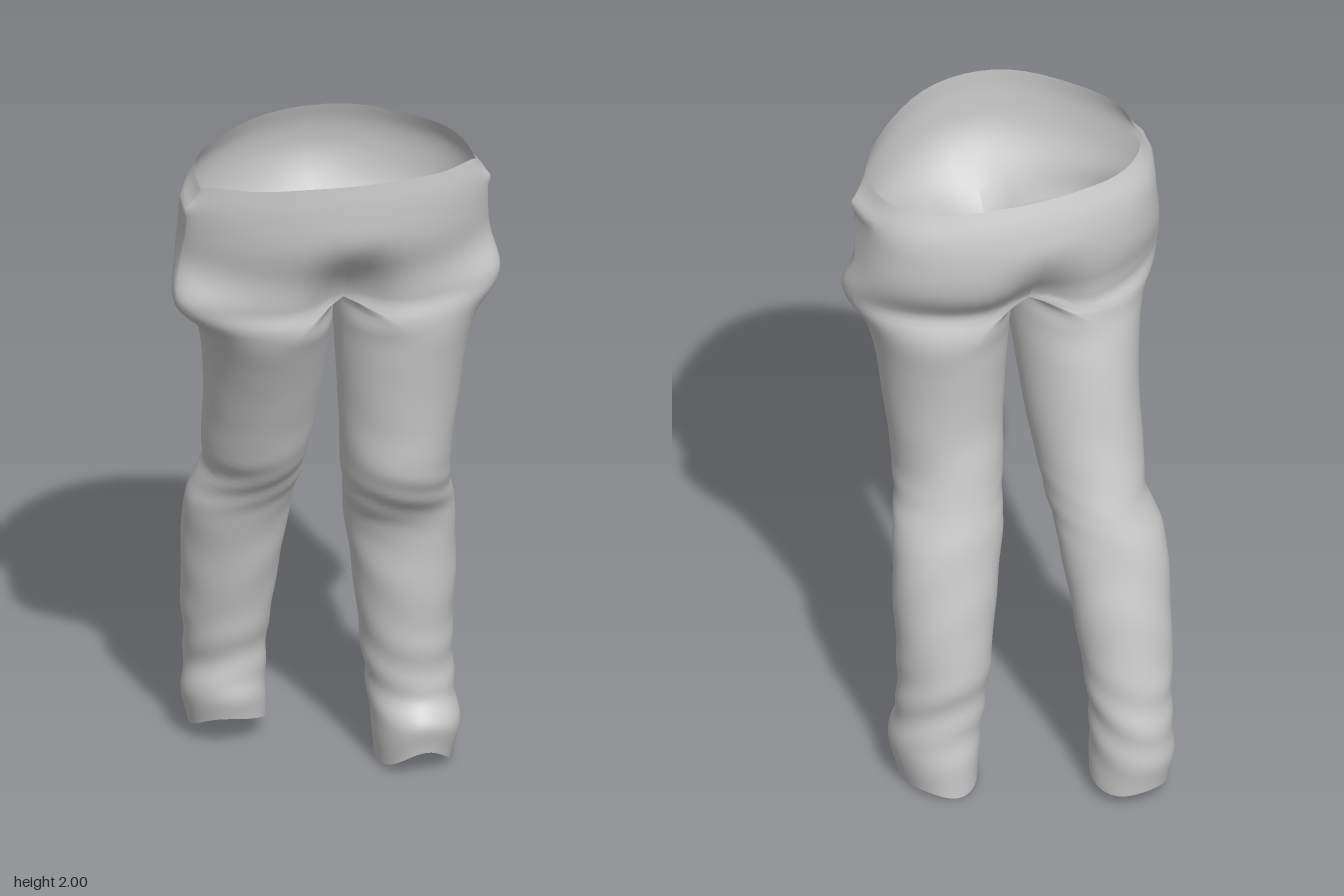
import * as THREE from 'three';
import { mergeGeometries, mergeVertices } from 'three/addons/utils/BufferGeometryUtils.js';

const CROTCH = 1.57;
const HALF = 28; // segments round each half of a section

// Sections, bottom up: height, outer x, inner x, middle x, front z, back z
const leftLeg = [
  [0.01, 0.355, 0.15, 0.25, 0.115, -0.165],
  [0.12, 0.38, 0.14, 0.25, 0.13, -0.165],
  [0.22, 0.37, 0.13, 0.25, 0.09, -0.155],
  [0.4, 0.365, 0.11, 0.24, 0.10, -0.17],
  [0.6, 0.37, 0.085, 0.23, 0.12, -0.155],
  [0.8, 0.36, 0.055, 0.21, 0.145, -0.125],
  [0.92, 0.335, 0.04, 0.19, 0.22, -0.10],
  [1.0, 0.33, 0.03, 0.18, 0.255, -0.085],
  [1.15, 0.345, 0.022, 0.18, 0.27, -0.07],
  [1.35, 0.37, 0.01, 0.18, 0.30, -0.085],
  [1.48, 0.40, 0.004, 0.17, 0.322, -0.105],
  [1.53, 0.415, 0.002, 0.11, 0.332, -0.12],
];
const rightLeg = [
  [0.045, 0.31, 0.10, 0.21, -0.165, -0.39],
  [0.14, 0.33, 0.10, 0.215, -0.15, -0.405],
  [0.25, 0.322, 0.10, 0.21, -0.16, -0.40],
  [0.4, 0.335, 0.09, 0.21, -0.13, -0.38],
  [0.6, 0.345, 0.07, 0.205, -0.08, -0.35],
  [0.8, 0.345, 0.05, 0.2, -0.02, -0.305],
  [0.92, 0.31, 0.038, 0.17, 0.05, -0.275],
  [1.0, 0.32, 0.03, 0.17, 0.10, -0.25],
  [1.15, 0.325, 0.015, 0.17, 0.16, -0.215],
  [1.35, 0.345, 0.006, 0.17, 0.25, -0.18],
  [1.48, 0.38, 0.003, 0.16, 0.312, -0.15],
  [1.53, 0.41, 0.002, 0.11, 0.33, -0.14],
];
// Shared by both sides, so they meet on the centre line
const pelvis = [
  [CROTCH, 0.42, 0, 0, 0.34, -0.14],
  [1.68, 0.43, 0, 0, 0.365, -0.185],
  [1.78, 0.425, 0, 0, 0.402, -0.197],
  [1.88, 0.415, 0, 0, 0.41, -0.185],
  [1.95, 0.385, 0, 0, 0.408, -0.16],
];

const bell = (v, centre, width) => Math.exp(-(((v - centre) / width) ** 2));

// One point of the cloth at height y and angle t (0 front, PI/2 outer side, PI back)
function clothPoint(row, y, t, side) {
  let [xo, xi, cx, zf, zb] = row;
  if (y >= CROTCH) xi = cx = 0;
  xi = Math.max(0, xi);
  let s = Math.sin(t);
  if (Math.abs(s) < 1e-9) s = 0;
  const c = Math.cos(t);

  // Hips: pointed at the front, flatter at the back, widest ahead of the middle
  const k = THREE.MathUtils.smoothstep(y, 1.5, 1.85);
  const cz = Math.sign(c) * Math.abs(c) ** (c > 0 ? 1 + 0.7 * k : 1 - 0.4 * k);

  // Folds at the knee and the ankle
  const fold = 1
    + (0.012 + 0.012 * c) * bell(y, 0.9, 0.09) * Math.sin(y * 70 + 4 * s + side)
    + 0.03 * bell(y, 0.26, 0.13) * Math.sin(y * 45 + 3 * Math.sin(t + side))
    + 0.01 * bell(y, 0.65, 0.5) * Math.sin(y * 30 + 4 * c + 2 * s);

  let x = cx + (s > 0 ? xo - cx : cx - xi) * s * fold;
  let z = (zf + zb) / 2 + ((zf - zb) / 2) * cz * fold + 0.05 * k * s * s;

  // Pocket bulge and side tab under the waist
  if (s > 0) {
    const bulge = bell(y, 1.575, 0.08) * s ** 4;
    x += 0.035 * bulge + 0.015 * bell(y, 1.88, 0.025) * s ** 60;
    z += 0.05 * bulge;
  }
  // Groove between the thighs and the buttocks
  const groove = y > CROTCH
    ? 1 - THREE.MathUtils.smoothstep(y, CROTCH, 1.82)
    : THREE.MathUtils.smoothstep(y, 1.47, CROTCH);
  const centre = bell(x, 0, 0.1);
  z -= (c > 0 ? 0.11 : 0.075) * c * groove * centre;
  // The right leg is swung back, the left one forward
  z += 0.028 * side * bell(y, CROTCH, 0.06) * (1 - centre) * Math.max(0, -c);

  // Wavy waist rim and uneven hem
  const rim = THREE.MathUtils.smoothstep(y, 1.68, 1.95);
  const hem = 1 - THREE.MathUtils.smoothstep(y, 0, 0.3);
  const lift = rim * (0.02 * c + 0.028 * Math.cos(2 * t) + 0.004 * Math.sin(7 * t) * s)
    + hem * (0.06 * Math.max(0, c) ** 2 + 0.008 * Math.sin(3 * t + side));
  return [side * x, y + lift, z];
}

// One leg with its half of the hips
function halfTrousers(legRows, side) {
  const rows = [...legRows, ...pelvis];
  const spline = new THREE.CubicInterpolant(
    rows.map((r) => r[0]), rows.flatMap((r) => r.slice(1)), 5);
  const bottom = rows[0][0], top = 1.95, legSteps = 90, hipSteps = 24;
  const around = HALF * 2;
  const positions = [], index = [];

  for (let i = 0; i <= legSteps + hipSteps; i++) {
    const y = i < legSteps
      ? bottom + ((CROTCH - bottom) * i) / legSteps
      : CROTCH + ((top - CROTCH) * (i - legSteps)) / hipSteps;
    const row = [...spline.evaluate(y)];
    for (let j = 0; j < around; j++) {
      positions.push(...clothPoint(row, y, (j / HALF) * Math.PI, side));
    }
  }
  // Above the crotch only the outer half of each section is skinned
  for (let i = 0; i < legSteps + hipSteps; i++) {
    const columns = i < legSteps ? around : HALF;
    for (let j = 0; j < columns; j++) {
      const a = i * around + j, b = i * around + ((j + 1) % around);
      const c = b + around, d = a + around;
      if (side > 0) index.push(a, b, c, a, c, d);
      else index.push(a, c, b, a, d, c);
    }
  }
  const geometry = new THREE.BufferGeometry();
  geometry.setAttribute('position', new THREE.Float32BufferAttribute(positions, 3));
  geometry.setIndex(index);
  // Drop the points that no face uses
  return geometry.toNonIndexed();
}

export function createModel() {
  const group = new THREE.Group();
  group.name = 'trousers';

  // Both halves welded along the centre seam
  const cloth = mergeVertices(
    mergeGeometries([halfTrousers(leftLeg, 1), halfTrousers(rightLeg, -1)]), 1e-4);

  // Stand on the ground, centred
  cloth.computeBoundingBox();
  const { min, max } = cloth.boundingBox;
  cloth.translate(-(min.x + max.x) / 2, -min.y, -(min.z + max.z) / 2);
  cloth.computeVertexNormals();

  const mesh = new THREE.Mesh(cloth, new THREE.MeshStandardMaterial({
    color: 0xcccccc, side: THREE.DoubleSide,
  }));
  mesh.name = 'trouserCloth';
  group.add(mesh);
  return group;
}
